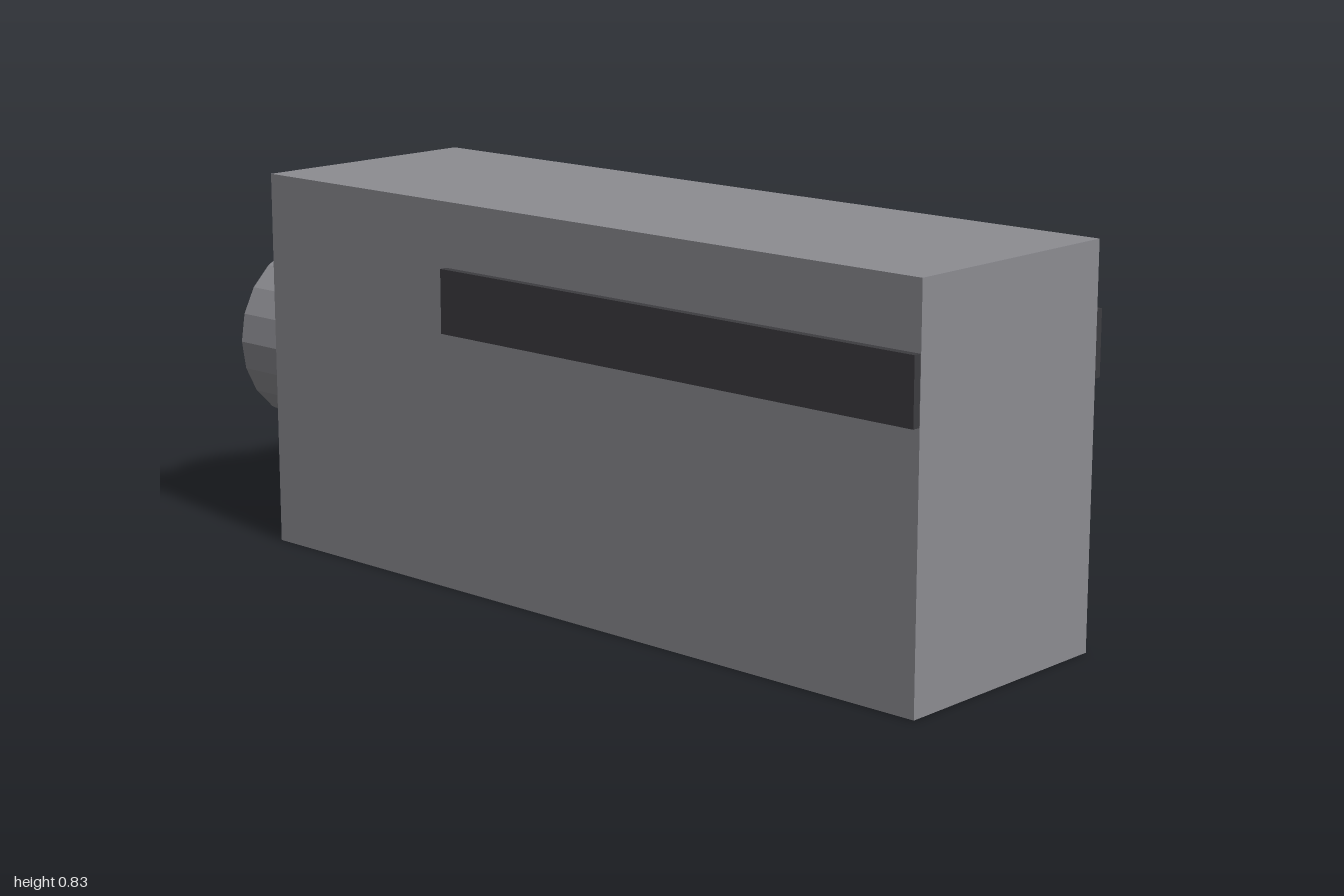
import * as THREE from 'three';

export function createModel() {
  const group = new THREE.Group();
  const bodyGrey = new THREE.MeshStandardMaterial({ name: 'bodyGrey', color: 0x8c8c91, flatShading: true });
  const darkGrey = new THREE.MeshStandardMaterial({ name: 'darkGrey', color: 0x3d3c40, flatShading: true });

  const add = (name, geometry, material, x, y, z) => {
    const mesh = new THREE.Mesh(geometry, material);
    mesh.name = name;
    mesh.position.set(x, y, z);
    group.add(mesh);
  };
  // Cylinder lying along z
  const rod = (radius, length, sides) =>
    new THREE.CylinderGeometry(radius, radius, length, sides).rotateX(Math.PI / 2);

  const bodyX = -0.113, midY = 0.415, handleX = 0.267;

  // Main block and the round stub at its back
  add('body', new THREE.BoxGeometry(0.55, 0.83, 1.795), bodyGrey, bodyX, midY, 0.1025);
  add('rearStub', rod(0.205, 0.22, 20), bodyGrey, bodyX, midY, -0.89);

  // Raised rails on both sides, flush with the front
  for (const side of [-1, 1]) {
    add(side > 0 ? 'leftRail' : 'rightRail', new THREE.BoxGeometry(0.027, 0.137, 1.239), darkGrey,
      bodyX + side * 0.279, 0.623, 0.3795);
  }

  // Side handle with a ball end
  add('handle', rod(0.11, 0.555, 24), darkGrey, handleX, midY, -0.1725);
  add('handleBall', new THREE.SphereGeometry(0.1375, 32, 20), darkGrey, handleX, midY, -0.45);

  return group;
}
